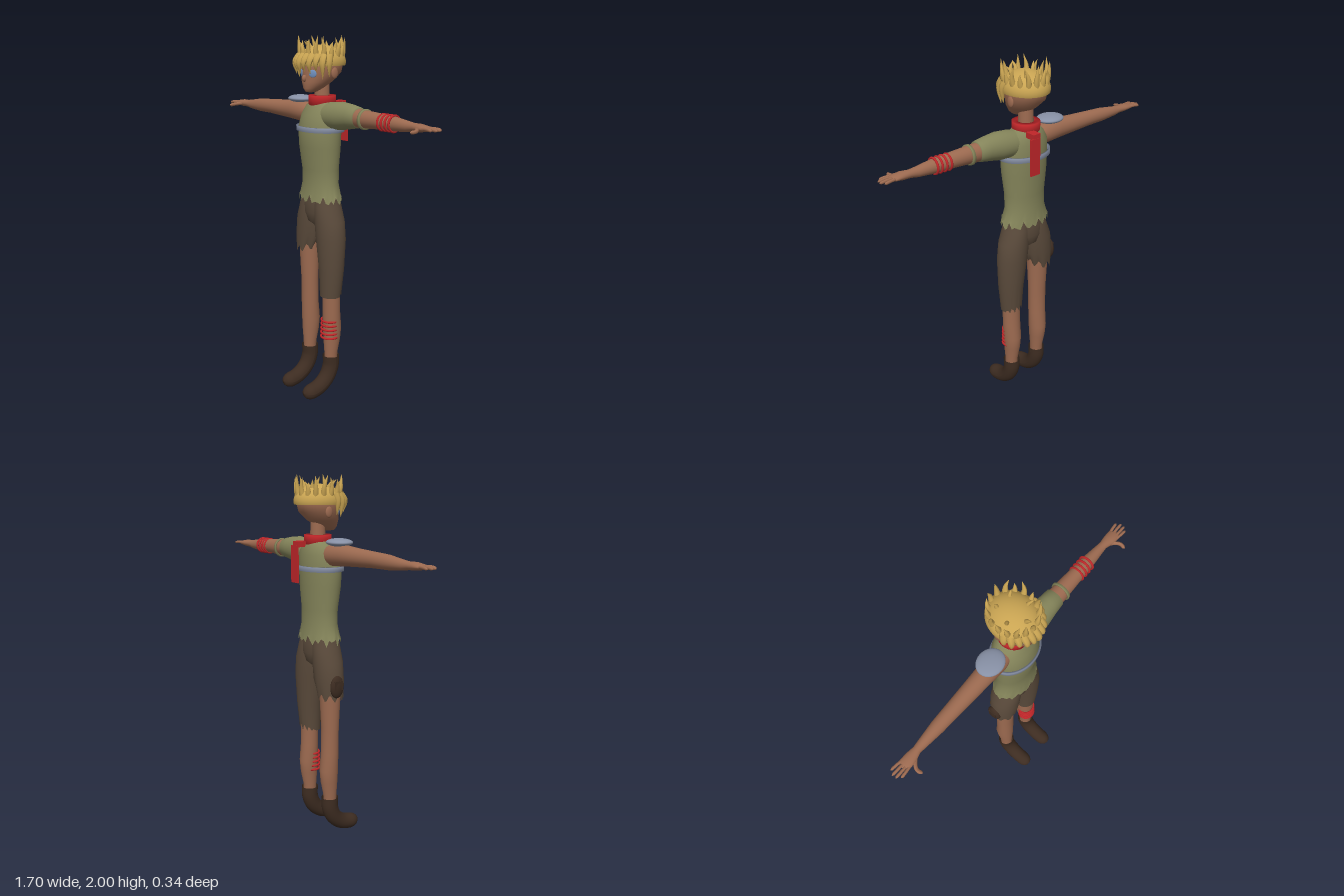
import * as THREE from 'three';

const mat = (name, color, side = THREE.FrontSide) => {
  const m = new THREE.MeshStandardMaterial({ color, side });
  m.name = name;
  return m;
};

// Smooth skin over elliptical rings [t, a, b, ra, rb] in ascending t.
// axis 'y': t = y, (a, b) = (x, z); axis 'x': t = x, (a, b) = (y, z).
function loft(rings, { axis = 'y', n = 40, jag = null } = {}) {
  const pos = [], idx = [];
  rings.forEach(([t, a, b, ra, rb], i) => {
    for (let j = 0; j < n; j++) {
      const th = (j / n) * Math.PI * 2;
      const p = a + ra * Math.cos(th), q = b + rb * Math.sin(th);
      const h = t + (i === 0 && jag ? jag(j, th) : 0);
      pos.push(...(axis === 'y' ? [p, h, q] : [h, p, q]));
      if (i === rings.length - 1) continue;
      const k = (j + 1) % n, A = i * n + j, B = A + n, C = i * n + k, D = C + n;
      if (axis === 'y') idx.push(A, B, C, C, B, D);
      else idx.push(A, C, B, C, D, B);
    }
  });
  const g = new THREE.BufferGeometry();
  g.setAttribute('position', new THREE.Float32BufferAttribute(pos, 3));
  g.setIndex(idx);
  g.computeVertexNormals();
  return g;
}

// Tube along points whose radius follows radius(u).
function taper(points, radius, steps = 12, sides = 10) {
  const curve = new THREE.CatmullRomCurve3(points.map((p) => new THREE.Vector3(...p)));
  const g = new THREE.TubeGeometry(curve, steps, 1, sides);
  const p = g.attributes.position, v = new THREE.Vector3();
  for (let i = 0; i <= steps; i++) {
    const c = curve.getPointAt(i / steps), r = Math.max(radius(i / steps), 0.0002);
    for (let j = 0; j <= sides; j++) {
      const k = i * (sides + 1) + j;
      v.fromBufferAttribute(p, k).sub(c).multiplyScalar(r).add(c);
      p.setXYZ(k, v.x, v.y, v.z);
    }
  }
  g.computeVertexNormals();
  return g;
}
const rounded = (r, from = 0.8) => (u) =>
  u < from ? r : r * Math.sqrt(Math.max(0, 1 - ((u - from) / (1 - from)) ** 2));

// Flat-walled band with a rectangular section.
function band(inner, outer, h) {
  const pts = [[inner, -h / 2], [outer, -h / 2], [outer, h / 2], [inner, h / 2], [inner, -h / 2]];
  return new THREE.LatheGeometry(pts.map((p) => new THREE.Vector2(...p)), 48).toNonIndexed();
}

export function createModel() {
  const root = new THREE.Group();
  root.name = 'figure';
  const skin = mat('skin', 0x9c6a50);
  const hair = mat('hair', 0xc9a452, THREE.DoubleSide);
  const shirt = mat('shirt', 0x84845a, THREE.DoubleSide);
  const shorts = mat('shorts', 0x5a4a3b, THREE.DoubleSide);
  const boot = mat('boot leather', 0x3d2c21, THREE.DoubleSide);
  const red = mat('red cloth', 0xc02629, THREE.DoubleSide);
  const metal = mat('grey metal', 0x8790a5, THREE.DoubleSide);
  const eye = mat('eye blue', 0x6f8fbd);
  const add = (name, geo, material, p = [0, 0, 0], s = [1, 1, 1], parent = root) => {
    const m = new THREE.Mesh(geo, material);
    m.name = name;
    m.position.set(...p);
    m.scale.set(...s);
    parent.add(m);
    return m;
  };
  const ball = new THREE.SphereGeometry(1, 28, 18);

  // Head and neck
  add('head', loft([
    [1.708, 0, 0.045, 0, 0], [1.712, 0, 0.043, 0.022, 0.032], [1.73, 0, 0.03, 0.046, 0.055],
    [1.765, 0, 0.002, 0.077, 0.085], [1.81, 0, -0.025, 0.099, 0.108], [1.86, 0, -0.033, 0.105, 0.114],
    [1.91, 0, -0.033, 0.08, 0.09], [1.93, 0, -0.033, 0, 0],
  ]), skin);
  add('neck', new THREE.CylinderGeometry(0.038, 0.042, 0.13, 24), skin, [0, 1.7, -0.03]);
  add('nose', ball, skin, [0, 1.783, 0.088], [0.011, 0.018, 0.014]);
  for (const s of [-1, 1]) {
    add('eye', ball, eye, [s * 0.046, 1.808, 0.07], [0.022, 0.02, 0.005]).rotation.y = s * 0.5;
    add('ear', ball, skin, [s * 0.1, 1.81, -0.032], [0.01, 0.029, 0.021]);
  }

  // Hair cap, upright spikes and hanging fringe
  const hairGroup = new THREE.Group();
  hairGroup.name = 'hair';
  root.add(hairGroup);
  add('hairCap', new THREE.SphereGeometry(1, 40, 16, 0, Math.PI * 2, 0, Math.PI * 0.56), hair,
    [0, 1.863, -0.025], [0.12, 0.088, 0.135], hairGroup);
  const lock = (name, pts, r) => add(name, taper(pts, (u) => r * (1 - u ** 1.5), 8, 8), hair, undefined, undefined, hairGroup);
  for (let i = 0; i < 17; i++) {
    const a = (i / 17) * Math.PI * 2 + 0.15, c = Math.cos(a), s = Math.sin(a);
    const top = 1.958 + 0.042 * Math.abs(Math.sin(i * 2.3)), lean = 0.018 * Math.sin(i * 1.9);
    lock('spike', [[c * 0.098, 1.89, -0.025 + s * 0.112], [c * 0.11, 1.935, -0.025 + s * 0.12],
      [c * 0.115 - s * lean, top, -0.025 + s * 0.123 + c * lean]], 0.016);
  }
  for (let i = 0; i < 5; i++) {
    const a = i * 1.257 + 0.4, c = Math.cos(a) * 0.065, s = Math.sin(a) * 0.075;
    lock('crownTuft', [[c, 1.925, s - 0.025], [c * 1.1, 1.95, s * 1.1 - 0.02], [c * 1.35, 1.972, s * 1.3 - 0.01]], 0.012);
  }
  for (let i = -5; i <= 5; i++) {
    const a = i * 0.26, c = Math.cos(a), s = Math.sin(a);
    const low = 1.805 - (Math.abs(i) > 3 ? 0.025 : 0) + (i % 2 ? 0.012 : 0);
    lock('fringe', [[s * 0.105, 1.9, -0.025 + c * 0.115], [s * 0.118, 1.865, -0.025 + c * 0.148],
      [s * 0.113, low, -0.025 + c * 0.138]], 0.021);
  }

  // Shirt with torn hem and one sleeve
  add('shirt', loft([
    [1.135, 0, -0.02, 0.146, 0.094], [1.165, 0, -0.02, 0.136, 0.089], [1.22, 0, -0.02, 0.119, 0.083],
    [1.3, 0, -0.019, 0.12, 0.083], [1.42, 0, -0.015, 0.131, 0.097], [1.52, 0, -0.014, 0.135, 0.102],
    [1.59, 0, -0.025, 0.126, 0.092], [1.635, 0, -0.03, 0.1, 0.076], [1.66, 0, -0.032, 0.072, 0.064],
    [1.675, 0, -0.032, 0.045, 0.045],
  ], { n: 48, jag: (j) => 0.018 * Math.sin(j * 2.4) + 0.012 * Math.sin(j * 1.3) }), shirt);
  add('sleeve', loft([
    [0.05, 1.59, -0.022, 0.06, 0.06], [0.11, 1.592, -0.02, 0.071, 0.068], [0.18, 1.597, -0.02, 0.073, 0.065],
    [0.25, 1.6, -0.02, 0.063, 0.056], [0.305, 1.6, -0.02, 0.053, 0.052], [0.306, 1.598, -0.02, 0.035, 0.035],
  ], { axis: 'x' }), shirt);
  add('chestBand', band(0.93, 1, 0.026), metal, [0, 1.518, -0.017], [0.15, 1, 0.113]);
  add('collar', band(0.042, 0.073, 0.054), red, [0, 1.665, -0.03]);
  add('scarfTail', new THREE.BoxGeometry(0.06, 0.195, 0.008), red, [0.04, 1.54, -0.15]);
  add('scarfKnot', new THREE.BoxGeometry(0.045, 0.03, 0.06), red, [0.03, 1.645, -0.122]);
  add('shoulderPad', ball, metal, [-0.172, 1.662, -0.02], [0.076, 0.021, 0.066]);

  // Arms and hands
  for (const s of [-1, 1]) {
    const arm = new THREE.Group();
    arm.name = s > 0 ? 'leftArm' : 'rightArm';
    root.add(arm);
    const rings = [
      [0.07, 1.59, -0.02, 0.045, 0.045], [0.13, 1.594, -0.02, 0.057, 0.054], [0.22, 1.598, -0.02, 0.054, 0.05],
      [0.32, 1.597, -0.02, 0.047, 0.045], [0.45, 1.597, -0.02, 0.04, 0.039], [0.55, 1.595, -0.02, 0.037, 0.035],
      [0.65, 1.592, -0.02, 0.026, 0.025], [0.69, 1.593, -0.019, 0.02, 0.021], [0.73, 1.594, -0.015, 0.02, 0.03],
      [0.775, 1.594, -0.014, 0.013, 0.032], [0.795, 1.594, -0.014, 0, 0],
    ].map(([t, ...r]) => [t * s, ...r]);
    if (s < 0) rings.reverse();
    if (s > 0) rings.forEach((r) => { if (r[0] < 0.25) { r[3] -= 0.008; r[4] -= 0.006; } });
    add('armAndPalm', loft(rings, { axis: 'x', n: 28 }), skin, undefined, undefined, arm);
    [-0.041, -0.022, -0.003, 0.014].forEach((z, i) => {
      const end = [0.835, 0.85, 0.848, 0.83][i];
      add('finger', taper([[s * 0.762, 1.595, z * 0.8 - 0.002], [s * 0.8, 1.596, z], [s * end, 1.592, z * 1.1]],
        rounded(0.0075), 10, 8), skin, undefined, undefined, arm);
    });
    add('thumb', taper([[s * 0.715, 1.592, -0.002], [s * 0.745, 1.588, 0.022], [s * 0.757, 1.584, 0.045], [s * 0.75, 1.582, 0.073]],
      rounded(0.0095), 12, 8), skin, undefined, undefined, arm);
  }
  add('armRing', band(0.042, 0.052, 0.014), shirt, [0.353, 1.596, -0.02]).rotation.z = Math.PI / 2;
  for (const x of [0.479, 0.505, 0.531, 0.557]) {
    add('armWrap', new THREE.TorusGeometry(0.039, 0.006, 8, 32), red, [x, 1.595, -0.02]).rotation.y = Math.PI / 2;
  }

  // Legs, shorts and boots
  for (const s of [-1, 1]) {
    const leg = new THREE.Group();
    leg.name = s > 0 ? 'leftLeg' : 'rightLeg';
    root.add(leg);
    const x = s * 0.096;
    add('skinLeg', loft([
      [0.16, x, -0.02, 0.033, 0.036], [0.25, x, -0.02, 0.036, 0.038], [0.33, x, -0.026, 0.045, 0.049],
      [0.4, x, -0.028, 0.05, 0.053], [0.5, x, -0.022, 0.051, 0.048], [0.65, x, -0.02, 0.052, 0.047],
      [0.8, x, -0.02, 0.058, 0.055], [0.95, x, -0.02, 0.06, 0.06],
    ], { n: 28 }), skin, undefined, undefined, leg);
    const upper = [
      [0.92, s * 0.088, -0.022, 0.087, 0.079], [1.02, s * 0.076, -0.022, 0.085, 0.082],
      [1.1, s * 0.06, -0.021, 0.068, 0.081], [1.17, s * 0.052, -0.02, 0.058, 0.073],
    ];
    const lower = s > 0
      ? [[0.59, 0.093, -0.018, 0.061, 0.058], [0.75, 0.097, -0.02, 0.073, 0.068]]
      : [[0.83, -0.1, -0.02, 0.073, 0.07]];
    const jag = s > 0
      ? (j, th) => Math.max(0, -Math.sin(th)) * 0.02 * (1 + Math.sin(j * 2.1))
      : (j, th) => 0.02 * Math.sin(j * 1.35) + 0.025 * Math.max(0, Math.cos(th));
    add('shortsLeg', loft([...lower, ...upper], { jag }), shorts, undefined, undefined, leg);
    add('boot', taper([[x, 0.232, -0.02], [x, 0.17, -0.019], [x, 0.11, 0.006], [x, 0.064, 0.058], [x, 0.046, 0.12], [x, 0.048, 0.176]],
      (u) => (0.047 - 0.004 * u) * rounded(1, 0.82)(u), 40, 24), boot, undefined, undefined, leg);
  }
  add('shortsSeat', loft([
    [0.985, 0, -0.022, 0.02, 0.04], [1.01, 0, -0.022, 0.07, 0.072], [1.06, 0, -0.022, 0.12, 0.082],
    [1.12, 0, -0.021, 0.118, 0.085], [1.19, 0, -0.02, 0.105, 0.074],
  ]), shorts);
  for (let i = 0; i < 5; i++) {
    const w = add('legWrap', new THREE.TorusGeometry(0.048, 0.0065, 8, 36), red,
      [0.093, 0.348 + i * 0.0245, -0.01], [1, 0.95 - i * 0.02, 1]);
    w.rotation.x = Math.PI / 2;
  }

  // Hip pouch with its flap
  add('pouch', ball, boot, [-0.17, 0.895, -0.03], [0.021, 0.062, 0.042]);
  add('pouchFlap', new THREE.BoxGeometry(0.02, 0.05, 0.05), boot, [-0.179, 0.905, -0.03]);
  return root;
}
